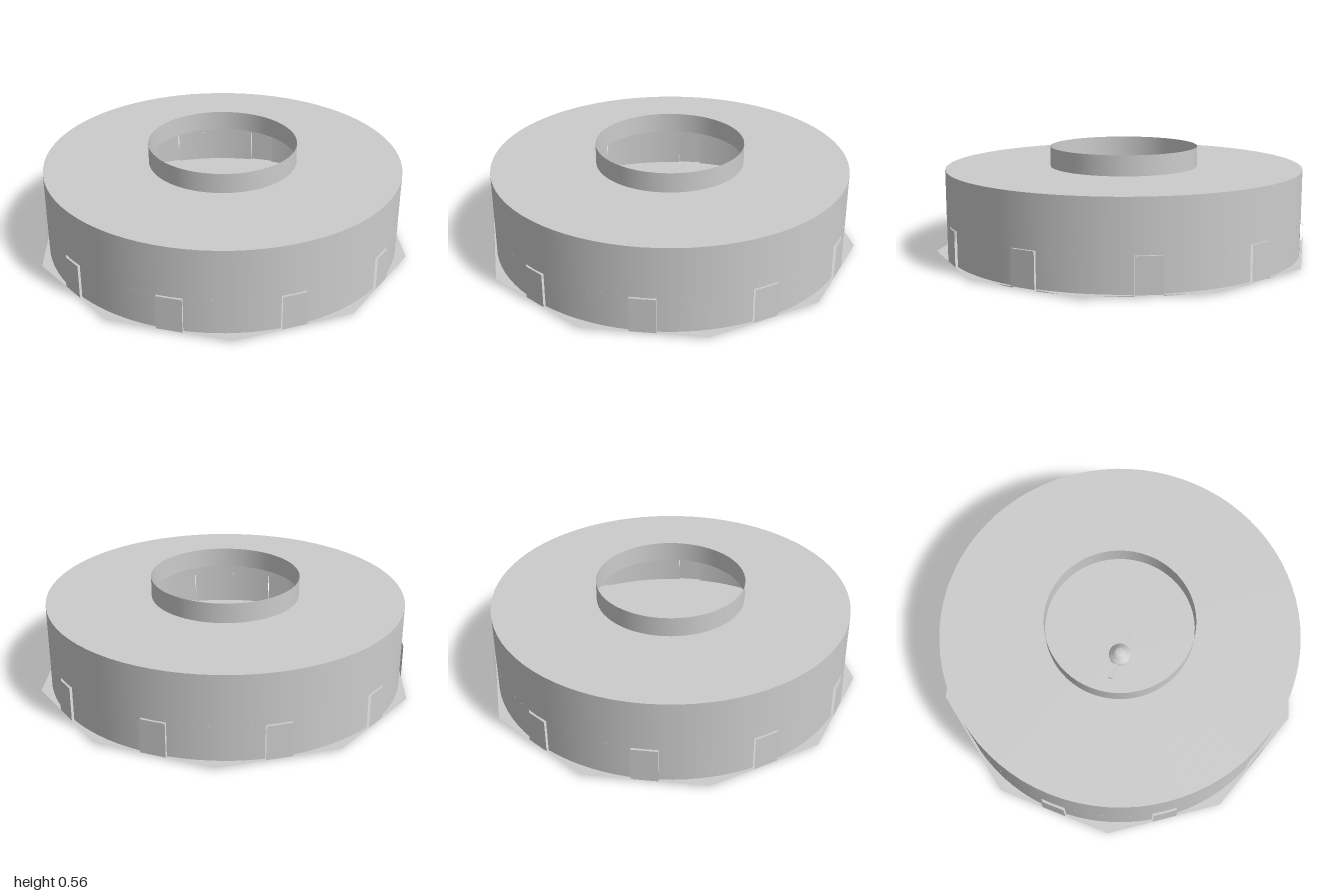
import * as THREE from 'three';

export function createModel() {
  const group = new THREE.Group();
  const grey = new THREE.MeshStandardMaterial({ color: 0xcccccc, side: THREE.DoubleSide });
  grey.name = 'light grey';

  const R = 0.94, NECK = 0.39, FLOOR = 0.01, TAB_TOP = 0.19, TOP = 0.455, RIM = 0.56;
  const STEP = Math.PI / 5, TAB_W = 0.13, APOTHEM = Math.cos(STEP / 2);

  const add = (name, geometry, x = 0, y = 0, z = 0) => {
    const mesh = new THREE.Mesh(geometry, grey);
    mesh.name = name;
    mesh.position.set(x, y, z);
    group.add(mesh);
    return mesh;
  };
  // open sheet cylinder between two heights
  const sheet = (name, r, y0, y1, segments, start = 0, sweep = Math.PI * 2) =>
    add(name, new THREE.CylinderGeometry(r, r, y1 - y0, segments, 1, true, start, sweep), 0, (y0 + y1) / 2);

  // ten-sided floor sheet with corners at front and back
  add('floor', new THREE.CircleGeometry(1, 10, Math.PI / 2).rotateX(-Math.PI / 2), 0, FLOOR);

  // drum wall, shoulder and neck
  sheet('upperWall', R, TAB_TOP, TOP, 80);
  add('shoulder', new THREE.RingGeometry(NECK, R, 80).rotateX(-Math.PI / 2), 0, TOP);
  sheet('neck', NECK, TOP, RIM, 64);

  // notched lower wall and the folded tabs that fill its notches
  const half = Math.asin(TAB_W / 2 / R);
  for (let i = 0; i < 10; i++) {
    const a = STEP * (i + 0.5);
    sheet('lowerWall', R, 0, TAB_TOP, 7, a + half, STEP - 2 * half);
    const tab = add('tab', new THREE.PlaneGeometry(TAB_W, TAB_TOP - FLOOR),
      Math.sin(a) * APOTHEM, (TAB_TOP + FLOOR) / 2, Math.cos(a) * APOTHEM);
    tab.rotation.y = a;
  }

  // small cross bar and hub in the middle of the floor
  add('crossBar', new THREE.BoxGeometry(0.3, 0.02, 0.016), 0, 0.015);
  const hub = [[0.062, 0.01], [0.062, 0.03], [0.045, 0.03], [0.04, 0.05], [0.02, 0.06], [0, 0.06]];
  add('hub', new THREE.LatheGeometry(hub.map(([x, y]) => new THREE.Vector2(x, y)), 24));

  return group;
}
